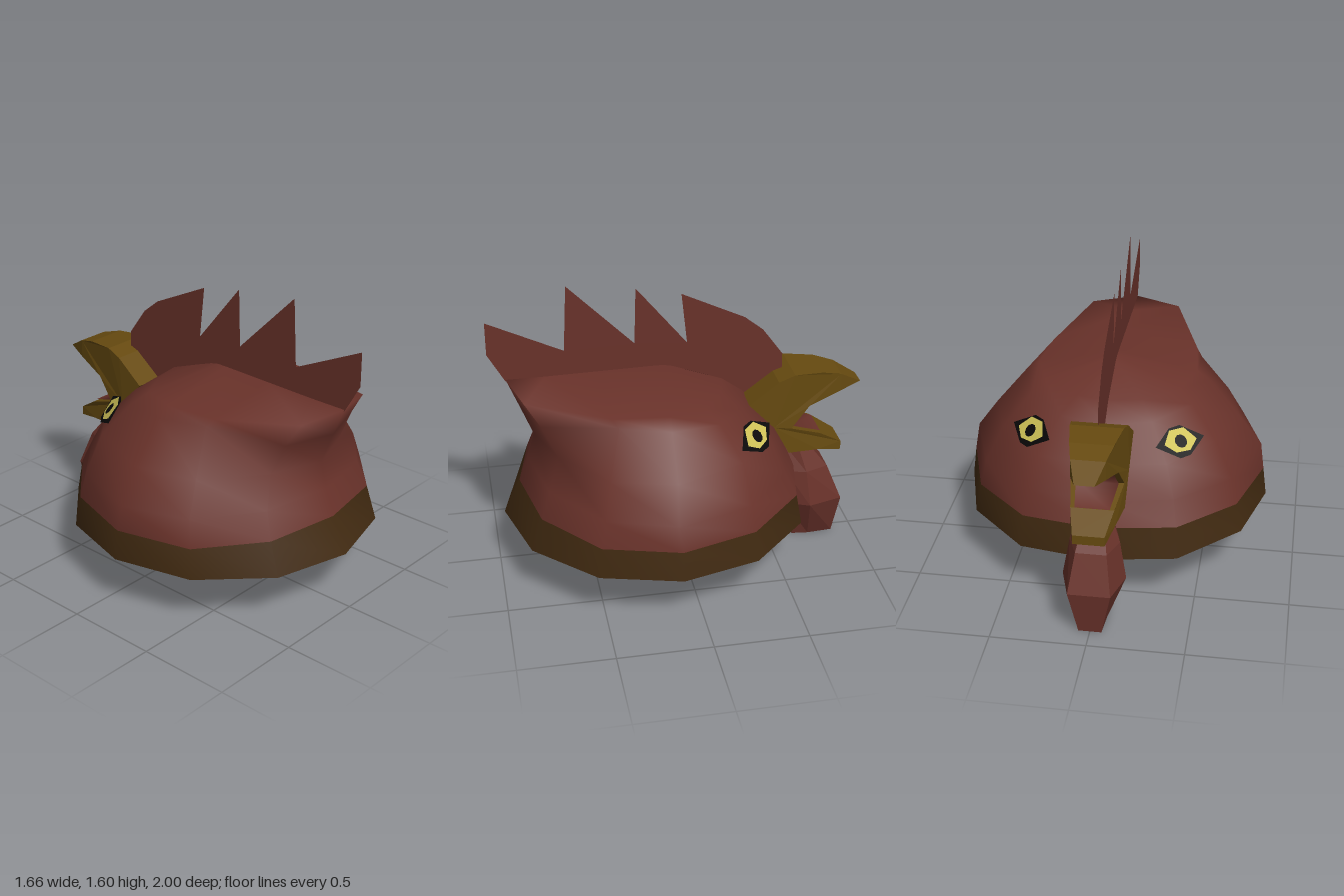
import * as THREE from 'three';
import { mergeVertices } from 'three/addons/utils/BufferGeometryUtils.js';

const mat = (name, color, side = THREE.FrontSide) => {
  const m = new THREE.MeshStandardMaterial({ color, side });
  m.name = name;
  return m;
};

// Skin between closed rings of [x, y, z], listed bottom to top, clockwise seen from above
function loft(rings, { smooth = true, bottom = false, top = false } = {}) {
  const n = rings[0].length, pos = rings.flat(2), idx = [];
  for (let r = 0; r < rings.length - 1; r++) {
    for (let i = 0; i < n; i++) {
      const j = (i + 1) % n, a = r * n + i, b = r * n + j, c = b + n, d = a + n;
      idx.push(a, d, c, a, c, b);
    }
  }
  const last = (rings.length - 1) * n;
  for (let i = 1; i < n - 1; i++) {
    if (bottom) idx.push(0, i, i + 1);
    if (top) idx.push(last, last + i + 1, last + i);
  }
  let g = new THREE.BufferGeometry();
  g.setAttribute('position', new THREE.Float32BufferAttribute(pos, 3));
  g.setIndex(idx);
  g = smooth ? mergeVertices(g) : g.toNonIndexed();
  g.computeVertexNormals();
  return g;
}

// Complete a half ring (beak side to tail side) by mirroring it in x
const mirrorRing = (half) => [
  ...half,
  ...half.slice(1, -1).reverse().map(([x, y, z]) => [-x, y, z]),
];

// Outline of [z, y] points as a shape standing in the x = 0 plane
const sideShape = (pts) => new THREE.Shape(pts.map(([z, y]) => new THREE.Vector2(-z, y)));

// Half-width of the beak along z
function beakWidth(z) {
  const s = [[-1, 0.05], [-0.84, 0.1], [-0.57, 0.142], [-0.45, 0.15]];
  for (let i = 0; i < 3; i++) {
    if (z <= s[i + 1][0]) return THREE.MathUtils.mapLinear(z, s[i][0], s[i + 1][0], s[i][1], s[i + 1][1]);
  }
  return 0.15;
}

export function createModel() {
  const red = mat('russet', 0x69322a, THREE.DoubleSide);
  const brown = mat('dark brown', 0x412a11);
  const gold = mat('dull gold', 0x664a10);
  const yellow = mat('eye yellow', 0xcfc257, THREE.DoubleSide);
  const black = mat('black', 0x090808, THREE.DoubleSide);
  const model = new THREE.Group();
  const add = (name, geometry, material, parent = model) => {
    const mesh = new THREE.Mesh(geometry, material);
    mesh.name = name;
    parent.add(mesh);
    return mesh;
  };

  // Twelve-sided brim band and the closed underside
  const base = mirrorRing([[0, 0.3, -0.67], [0.41, 0.3, -0.6], [0.72, 0.3, -0.29], [0.83, 0.3, 0.12],
    [0.72, 0.3, 0.54], [0.41, 0.3, 0.85], [0, 0.3, 0.96]]);
  const bandTop = mirrorRing([[0, 0.48, -0.65], [0.4, 0.47, -0.57], [0.69, 0.46, -0.28], [0.81, 0.46, 0.12],
    [0.7, 0.46, 0.52], [0.4, 0.48, 0.79], [0, 0.49, 0.87]]);
  add('band', loft([base, bandTop]), brown);
  add('underside', loft([base], { bottom: true }), brown);

  // Head, pinched in at the back below an overhanging tuft
  const head = [
    [[0, 0.6, -0.59], [0.38, 0.6, -0.51], [0.66, 0.6, -0.26], [0.79, 0.6, 0.14],
      [0.67, 0.6, 0.49], [0.37, 0.62, 0.74], [0, 0.63, 0.82]],
    [[0, 0.76, -0.49], [0.335, 0.76, -0.44], [0.565, 0.8, -0.23], [0.67, 0.77, 0.12],
      [0.58, 0.77, 0.45], [0.28, 0.77, 0.68], [0, 0.77, 0.78]],
    [[0, 0.92, -0.35], [0.24, 0.93, -0.3], [0.43, 0.96, -0.14], [0.5, 0.98, 0.12],
      [0.43, 0.99, 0.38], [0.27, 0.95, 0.76], [0, 0.95, 0.85]],
    [[0, 1, -0.24], [0.17, 1, -0.2], [0.36, 1.02, -0.08], [0.43, 1.03, 0.12],
      [0.4, 1.03, 0.41], [0.25, 1.08, 0.84], [0, 1.1, 0.91]],
    [[0, 1.06, -0.08], [0, 1.1, 0.03], [0, 1.11, 0.08], [0, 1.11, 0.14],
      [0, 1.105, 0.42], [0, 1.1, 0.7], [0, 1.1, 0.91]],
  ].map(mirrorRing);
  add('head', loft([bandTop, ...head]), red);

  // Flat serrated comb
  const comb = new THREE.ShapeGeometry(sideShape([[1, 1.25], [1, 1.43], [0.6, 1.24], [0.58, 1.6],
    [0.23, 1.25], [0.22, 1.56], [-0.05, 1.23], [-0.02, 1.51], [-0.36, 1.35], [-0.46, 1.27],
    [-0.57, 1.12], [-0.57, 1], [-0.38, 0.87], [-0.27, 0.97], [0.08, 1.1], [0.91, 1.09]]));
  add('comb', comb.rotateY(Math.PI / 2), red);

  // Open beak, tapered toward its tips
  const jaw = [[-0.88, 0.91], [-0.7, 0.85], [-0.6, 0.73], [-0.77, 0.67], [-0.9, 0.59]];
  const beak = new THREE.ExtrudeGeometry(sideShape([[-0.36, 0.9], [-0.52, 1.02], [-0.61, 1.05],
    [-0.77, 1.04], [-0.88, 1.01], [-1, 0.94], ...jaw, [-0.9, 0.54], [-0.76, 0.57], [-0.59, 0.58],
    [-0.5, 0.75]]), { depth: 2, bevelEnabled: false });
  beak.translate(0, 0, -1).rotateY(Math.PI / 2);
  const p = beak.attributes.position;
  for (let i = 0; i < p.count; i++) p.setX(i, p.getX(i) * beakWidth(p.getZ(i)));
  beak.computeVertexNormals();
  add('beak', beak, gold);

  // Red lining inside the beak
  const lining = [], liningIndex = [];
  jaw.slice(0, 4).forEach(([z, y], i) => {
    const w = beakWidth(z) * 0.8, zz = z + (-0.95 - z) * 0.03, yy = y + (0.76 - y) * 0.05;
    lining.push(-w, yy, zz, w, yy, zz);
    if (i) liningIndex.push(2 * i - 2, 2 * i - 1, 2 * i, 2 * i - 1, 2 * i + 1, 2 * i);
  });
  const mouth = new THREE.BufferGeometry();
  mouth.setAttribute('position', new THREE.Float32BufferAttribute(lining, 3));
  mouth.setIndex(liningIndex);
  mouth.computeVertexNormals();
  add('mouthLining', mouth, red);

  // Six-sided wattle: y, then z and half-width at front, middle and back
  const wattle = [
    [0, -0.88, 0.06, -0.74, 0.07, -0.65, 0.06],
    [0.24, -0.91, 0.11, -0.72, 0.165, -0.59, 0.11],
    [0.44, -0.83, 0.08, -0.7, 0.13, -0.59, 0.1],
    [0.58, -0.72, 0.05, -0.66, 0.08, -0.59, 0.05],
  ].map(([y, zf, wf, zm, wm, zb, wb]) => [[wf, y, zf], [wm, y, zm], [wb, y, zb],
    [-wb, y, zb], [-wm, y, zm], [-wf, y, zf]]);
  add('wattle', loft(wattle, { smooth: false, bottom: true, top: true }), red);

  // Eyes: thin stacked plates lying on the slanted cheeks
  const u = new THREE.Vector3(0.23, -0.02, 0.2).normalize();
  const out = new THREE.Vector3().crossVectors(new THREE.Vector3(-0.06, 0.125, 0.1), u).normalize();
  if (out.y < 0) out.negate();
  const v = new THREE.Vector3().crossVectors(out, u);
  const plate = (pts) => new THREE.ShapeGeometry(new THREE.Shape(pts.map(([x, y]) => new THREE.Vector2(x, y))));
  for (const side of [1, -1]) {
    const mirror = new THREE.Group();
    mirror.name = side > 0 ? 'leftEye' : 'rightEye';
    mirror.scale.x = side;
    const eye = new THREE.Group();
    eye.name = 'eyePlates';
    eye.matrix.makeBasis(u, v, out).setPosition(0.385 + out.x * 0.008, 0.842 + out.y * 0.008, -0.337 + out.z * 0.008);
    eye.matrix.decompose(eye.position, eye.quaternion, eye.scale);
    add('eyeOutline', plate([[-0.152, 0], [-0.03, 0.085], [0.035, 0.08], [0.152, 0],
      [0.03, -0.085], [-0.04, -0.08]]), black, eye);
    add('iris', plate([[-0.1, 0], [-0.045, 0.052], [0.04, 0.056], [0.1, 0.005],
      [0.045, -0.068], [-0.045, -0.068]]), yellow, eye).position.z = 0.005;
    add('pupil', new THREE.CircleGeometry(0.036, 10), black, eye).position.z = 0.009;
    mirror.add(eye);
    model.add(mirror);
  }
  return model;
}
